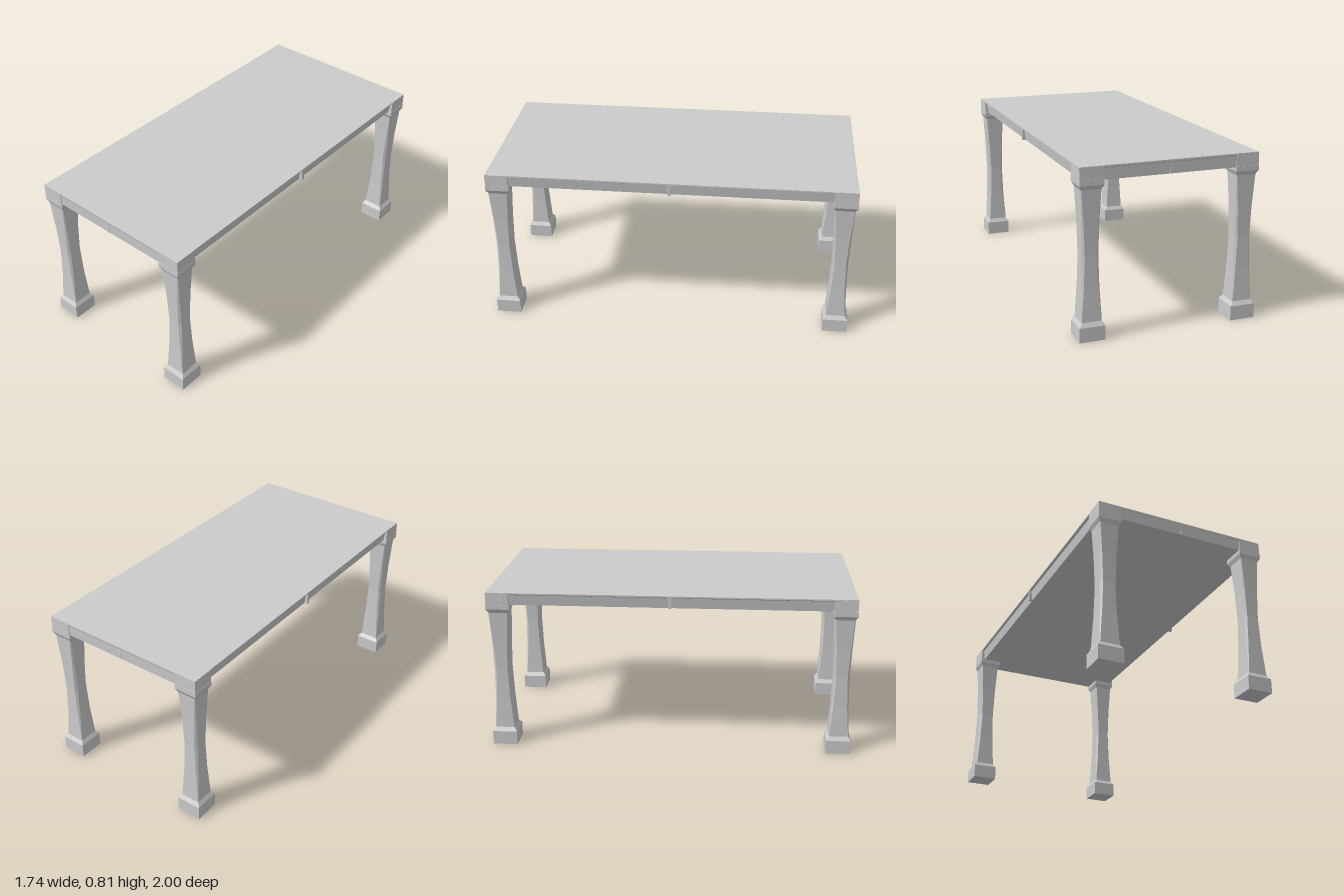
import * as THREE from 'three';

const material = new THREE.MeshStandardMaterial({ color: 0xcccccc, flatShading: true });

// Stacks chamfered rectangles [y, halfX, halfZ, chamfer] from bottom to top into a closed solid.
function loft(sections) {
  const rings = sections.map(([y, hx, hz, c]) => [
    [hx, hz - c], [hx - c, hz], [-hx + c, hz], [-hx, hz - c],
    [-hx, -hz + c], [-hx + c, -hz], [hx - c, -hz], [hx, -hz + c],
  ].map(([x, z]) => [x, y, z]));
  const pos = [];
  const tri = (a, b, c) => pos.push(...a, ...b, ...c);
  for (let i = 0; i < rings.length - 1; i++) {
    for (let j = 0; j < 8; j++) {
      const k = (j + 1) % 8;
      const lo = rings[i], hi = rings[i + 1];
      tri(lo[j], lo[k], hi[k]);
      tri(lo[j], hi[k], hi[j]);
    }
  }
  const bottom = rings[0], top = rings[rings.length - 1];
  for (let j = 1; j < 7; j++) {
    tri(bottom[0], bottom[j + 1], bottom[j]);
    tri(top[0], top[j], top[j + 1]);
  }
  const g = new THREE.BufferGeometry();
  g.setAttribute('position', new THREE.Float32BufferAttribute(pos, 3));
  // Outward faces: the rings run clockwise from above, so flip the winding.
  for (let i = 0; i < pos.length; i += 9) {
    for (let n = 0; n < 3; n++) {
      const t = g.attributes.position.array[i + 3 + n];
      g.attributes.position.array[i + 3 + n] = g.attributes.position.array[i + 6 + n];
      g.attributes.position.array[i + 6 + n] = t;
    }
  }
  g.computeVertexNormals();
  return g;
}

function add(parent, name, geometry, x = 0, y = 0, z = 0) {
  const mesh = new THREE.Mesh(geometry, material);
  mesh.name = name;
  mesh.position.set(x, y, z);
  parent.add(mesh);
  return mesh;
}

export function createModel() {
  const model = new THREE.Group();
  model.name = 'table';

  // The table stands turned on the floor; its long side runs along local x.
  const table = new THREE.Group();
  table.name = 'turnedTable';
  table.rotation.y = 0.983;
  model.add(table);

  const L = 0.902, W = 0.433;   // half length and half width of the top
  const yLow = 0.745, yTop = 0.81;

  // Top board with a thin lip and an apron that leans inward below it
  add(table, 'tableTop', loft([
    [yLow, L - 0.004, W - 0.018, 0],
    [0.797, L - 0.002, W - 0.010, 0],
    [0.803, L, W, 0],
    [yTop, L, W, 0],
  ]));

  // Centre ribs on all four apron sides
  for (const s of [-1, 1]) {
    add(table, 'sideRib', new THREE.BoxGeometry(0.016, 0.058, 0.03), 0, 0.775, s * (W - 0.015));
    add(table, 'endRib', new THREE.BoxGeometry(0.03, 0.056, 0.01), s * (L - 0.016), 0.774, 0);
  }

  // Legs: square foot, waisted shaft with softened corners, flared capital
  const legGeometry = loft([
    [0, 0.062, 0.062, 0],
    [0.07, 0.062, 0.062, 0],
    [0.09, 0.049, 0.049, 0.002],
    [0.25, 0.042, 0.042, 0.008],
    [0.4, 0.039, 0.039, 0.011],
    [0.55, 0.042, 0.042, 0.008],
    [0.705, 0.048, 0.048, 0.002],
    [0.725, 0.058, 0.058, 0],
    [0.748, 0.058, 0.058, 0],
  ]);
  const blockGeometry = new THREE.BoxGeometry(0.112, 0.064, 0.112);
  for (const sx of [-1, 1]) {
    for (const sz of [-1, 1]) {
      add(table, 'leg', legGeometry, sx * 0.847, 0, sz * 0.377);
      add(table, 'cornerBlock', blockGeometry, sx * 0.847, 0.777, sz * 0.378);
    }
  }
  return model;
}
